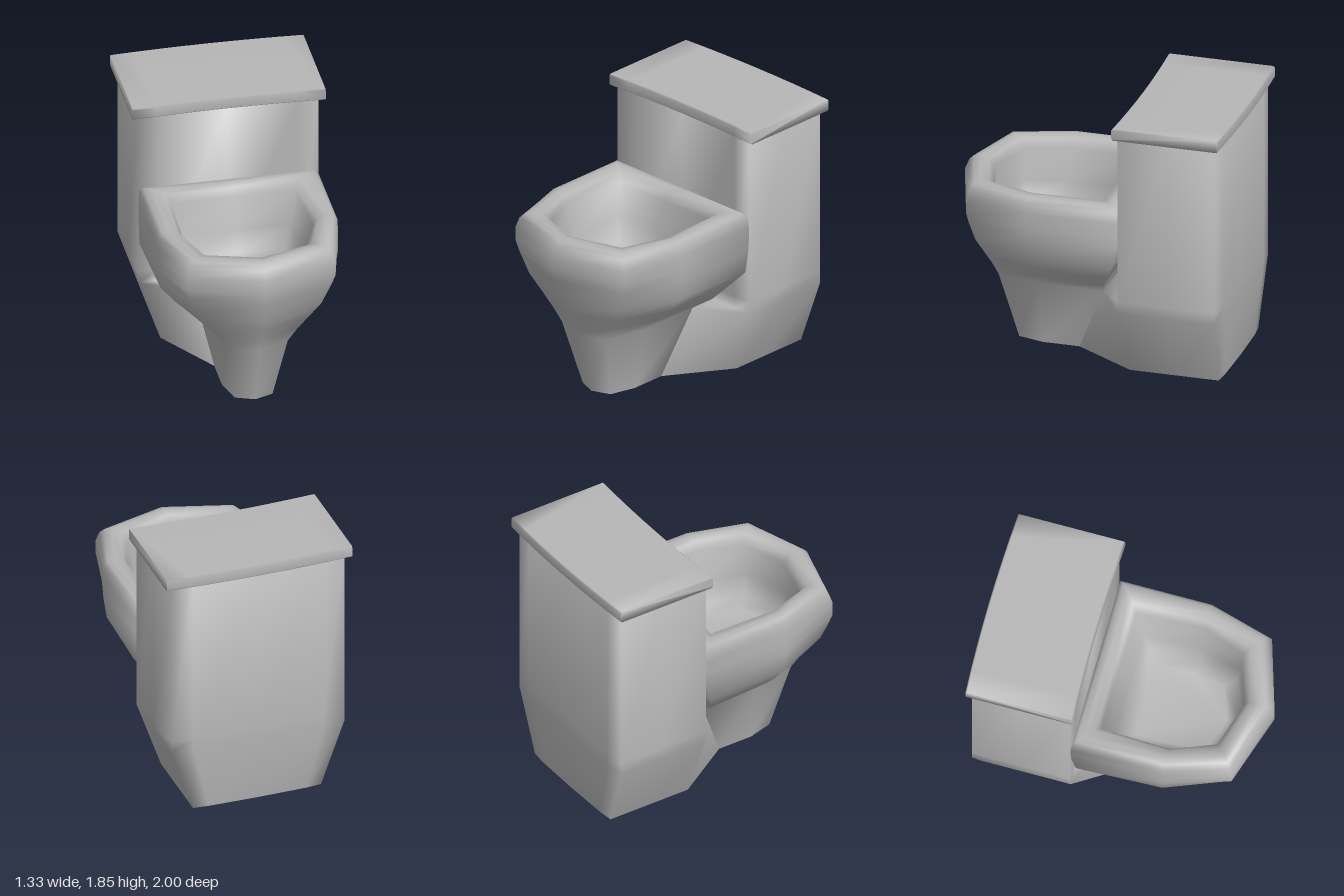
import * as THREE from 'three';
import { mergeVertices } from 'three/addons/utils/BufferGeometryUtils.js';

// Skin a series of closed rings with smooth normals; ends are closed by fans.
function loft(rings, openStart = false) {
  const n = rings[0].length;
  const last = (rings.length - 1) * n;
  const index = [];
  for (let i = 0; i < last; i += n) {
    for (let j = 0; j < n; j++) {
      const a = i + j, b = i + (j + 1) % n;
      index.push(a, b, b + n, a, b + n, a + n);
    }
  }
  for (let j = 1; j < n - 1; j++) {
    if (!openStart) index.push(0, j + 1, j);
    index.push(last, last + j, last + j + 1);
  }
  let geo = new THREE.BufferGeometry();
  geo.setAttribute('position', new THREE.Float32BufferAttribute(rings.flat(2), 3));
  geo.setIndex(index);
  geo = mergeVertices(geo, 1e-4);
  geo.computeVertexNormals();
  return geo;
}

// Level ring from half an outline: first and last points lie on x = 0.
function mirrorRing(y, half) {
  const right = half.map(([x, z]) => [x, y, z]);
  const left = half.slice(1, -1).reverse().map(([x, z]) => [-x, y, z]);
  return [...right, ...left];
}

export function createModel() {
  const group = new THREE.Group();
  const ceramic = new THREE.MeshStandardMaterial({ color: 0xb6b6b6, side: THREE.DoubleSide });
  ceramic.name = 'grey ceramic';
  const add = (name, geo) => {
    const mesh = new THREE.Mesh(geo, ceramic);
    mesh.name = name;
    group.add(mesh);
  };

  // Bowl and hollow pedestal: up the outside, over the rim and into the basin.
  // y, front z, front corner x/z, side x/z, back corner x/z
  const bowl = [
    [0, 0.63, 0.13, 0.58, 0.18, 0.40, 0.18, 0.14],
    [0.475, 0.78, 0.21, 0.70, 0.28, 0.40, 0.28, -0.06],
    [0.58, 0.83, 0.27, 0.73, 0.40, 0.38, 0.43, -0.095],
    [0.68, 0.88, 0.34, 0.76, 0.50, 0.38, 0.52, -0.15],
    [0.80, 0.94, 0.42, 0.80, 0.60, 0.38, 0.62, -0.22],
    [0.95, 0.985, 0.48, 0.83, 0.62, 0.39, 0.62, -0.25],
    [1.03, 1.00, 0.51, 0.84, 0.62, 0.39, 0.62, -0.255],
    [1.13, 1.00, 0.51, 0.84, 0.62, 0.39, 0.62, -0.255],
    [1.20, 0.97, 0.49, 0.82, 0.615, 0.39, 0.615, -0.25],
    [1.23, 0.94, 0.46, 0.80, 0.59, 0.39, 0.59, -0.225],
    [1.24, 0.89, 0.42, 0.77, 0.54, 0.39, 0.54, -0.18],
    [1.225, 0.83, 0.37, 0.72, 0.48, 0.39, 0.47, -0.12],
    [1.17, 0.79, 0.33, 0.69, 0.45, 0.39, 0.43, -0.09],
    [0.95, 0.78, 0.31, 0.68, 0.38, 0.39, 0.38, -0.02],
    [0.80, 0.75, 0.29, 0.66, 0.33, 0.39, 0.33, 0.03],
    [0.75, 0.67, 0.24, 0.58, 0.26, 0.37, 0.26, 0.10],
  ].map(([y, f, cx, cz, sx, sz, bx, bz]) =>
    mirrorRing(y, [[0, f], [cx, cz], [sx, sz], [bx, bz], [0, bz]]));
  add('bowl', loft(bowl, true));

  // Tank with its tapered base reaching forward to the pedestal.
  const tankHalf = [
    [0, -0.26], [0.48, -0.26], [0.62, -0.26], [0.62, -0.6], [0.62, -0.945], [0.47, -0.96], [0, -0.97],
  ];
  const tank = [
    mirrorRing(0, [[0, 0.08], [0.15, 0.08], [0.4, -0.3], [0.4, -0.6], [0.4, -0.86], [0.32, -0.87], [0, -0.88]]),
    mirrorRing(0, [[0, 0.14], [0.18, 0.14], [0.46, -0.3], [0.46, -0.6], [0.46, -0.925], [0.35, -0.935], [0, -0.94]]),
    mirrorRing(0.475, [[0, -0.06], [0.28, -0.06], ...tankHalf.slice(2)]),
    ...[0.475, 0.56, 1.78].map((y) => mirrorRing(y, tankHalf)),
  ];
  add('tank', loft(tank));

  // Lid: slightly softened section swept across, bowed to the back.
  const lidSection = [
    [-0.97, 1.85], [-0.24, 1.85], [-0.23, 1.84], [-0.23, 1.775],
    [-0.24, 1.765], [-0.97, 1.765], [-0.98, 1.775], [-0.98, 1.84],
  ];
  const halfWidth = 0.665;
  const lid = [];
  for (let i = -4; i <= 4; i++) {
    const t = i / 4;
    const bow = -0.02 * (1 - t * t);
    lid.push(lidSection.map(([z, y]) => [t * halfWidth, y, z + bow]));
  }
  add('tankLid', loft(lid));

  return group;
}
